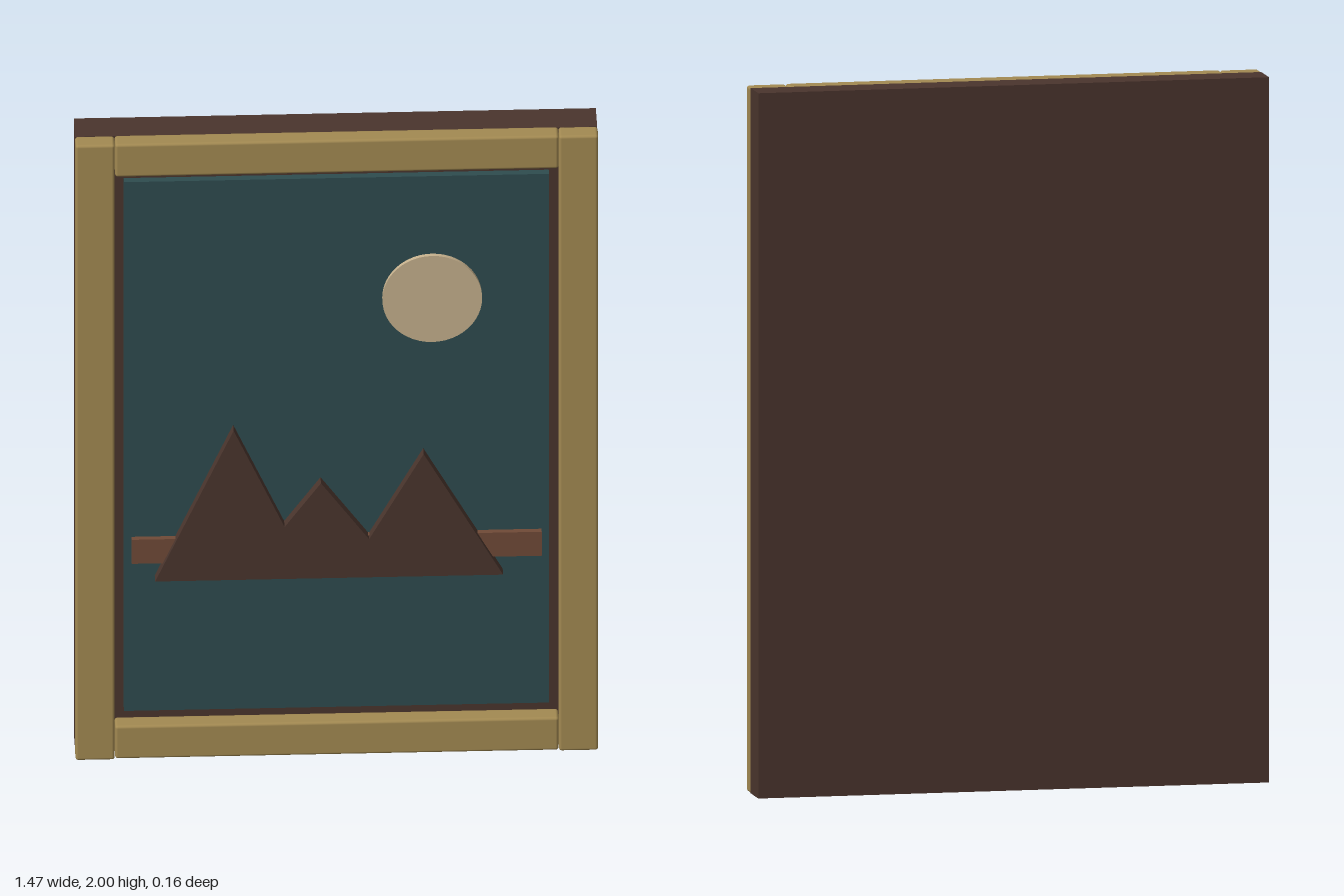
import * as THREE from 'three';
import { RoundedBoxGeometry } from 'three/addons/geometries/RoundedBoxGeometry.js';

const material = (color) => new THREE.MeshStandardMaterial({ color });

export function createModel() {
  const model = new THREE.Group();
  const darkWood = material(0x4a352d);
  const gold = material(0xa38a52);

  const add = (name, geometry, mat, x, y, z) => {
    const mesh = new THREE.Mesh(geometry, mat);
    mesh.name = name;
    mesh.position.set(x, y, z);
    model.add(mesh);
    return mesh;
  };

  // Backing board and the raised picture panel
  add('backBoard', new THREE.BoxGeometry(1.464, 1.998, 0.102), darkWood, 0, 1, -0.029);
  add('picturePanel', new THREE.BoxGeometry(1.192, 1.72, 0.03), material(0x2e4c4f), 0, 1.002, 0.03);

  // Frame: two full-height posts with rails between them
  const depth = 0.056, frameZ = 0.047, bevel = 0.008;
  for (const [name, side] of [['leftPost', 1], ['rightPost', -1]]) {
    add(name, new RoundedBoxGeometry(0.11, 2, depth, 2, bevel), gold, side * 0.678, 1, frameZ);
  }
  for (const [name, y] of [['topRail', 1.948], ['bottomRail', 0.056]]) {
    add(name, new RoundedBoxGeometry(1.244, 0.106, depth, 2, bevel), gold, 0, y, frameZ);
  }

  // Moon disc
  const moon = new THREE.CylinderGeometry(0.14, 0.14, 0.018, 48).rotateX(Math.PI / 2);
  add('moon', moon, material(0xc6b18d), 0.268, 1.47, 0.049);

  // Horizon strip behind the mountains
  add('horizonStrip', new THREE.BoxGeometry(1.15, 0.078, 0.024), material(0x704a37), 0, 0.669, 0.05);

  // Mountain silhouette
  const ridge = [
    [-0.51, 0.581], [0.466, 0.581], [0.243, 0.978], [0.09, 0.705],
    [-0.045, 0.89], [-0.147, 0.75], [-0.29, 1.066],
  ];
  const outline = new THREE.Shape(ridge.map(([x, y]) => new THREE.Vector2(x, y)));
  const mountains = new THREE.ExtrudeGeometry(outline, { depth: 0.034, bevelEnabled: false });
  add('mountains', mountains, darkWood, 0, 0, 0.045);

  return model;
}
